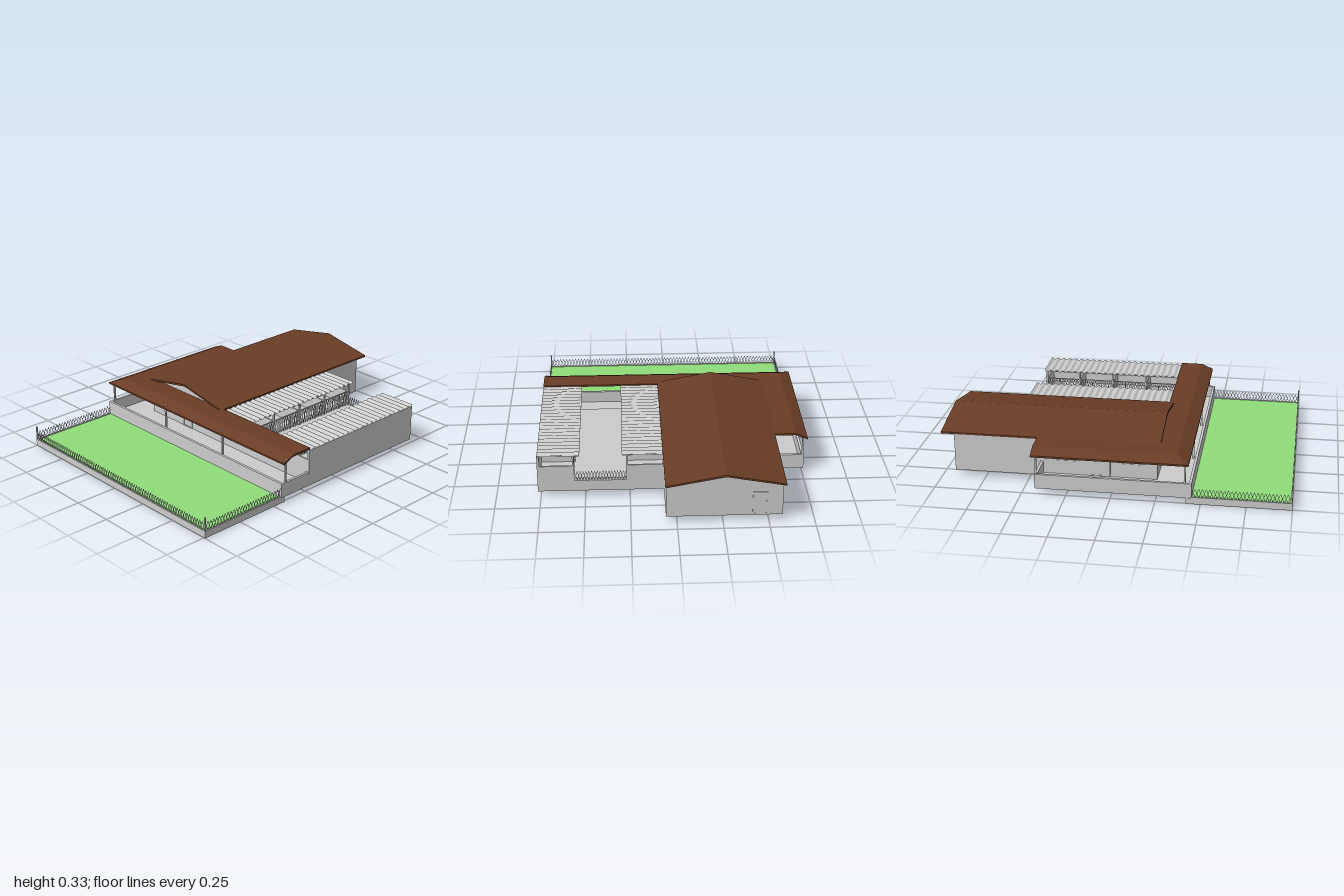
import * as THREE from 'three';
import { mergeGeometries } from 'three/addons/utils/BufferGeometryUtils.js';

const grey = new THREE.MeshStandardMaterial({ color: 0xcccccc, flatShading: true, side: THREE.DoubleSide });
const brown = new THREE.MeshStandardMaterial({ color: 0x6a3d26, flatShading: true, side: THREE.DoubleSide });
const green = new THREE.MeshStandardMaterial({ color: 0x8fdc78 });

export function createModel() {
  const model = new THREE.Group();

  const add = (name, geometry, material = grey) => {
    const mesh = new THREE.Mesh(geometry, material);
    mesh.name = name;
    model.add(mesh);
    return mesh;
  };
  // Box given by its minimum and maximum on each axis
  const block = (x0, x1, y0, y1, z0, z1) =>
    new THREE.BoxGeometry(x1 - x0, y1 - y0, z1 - z0)
      .translate((x0 + x1) / 2, (y0 + y1) / 2, (z0 + z1) / 2);
  const addBlock = (name, ...b) => add(name, block(...b));
  const post = (name, x, z, y0, y1, r = 0.005) => addBlock(name, x - r, x + r, y0, y1, z - r, z + r);

  // Crossing diagonal wires between two ground points
  const wireMesh = (name, x0, z0, x1, z1, y0, y1, pitch = 0.02) => {
    const dx = x1 - x0, dz = z1 - z0, length = Math.hypot(dx, dz), h = y1 - y0;
    const count = Math.round(length / pitch), step = length / count;
    const lean = Math.atan2(step, h), wire = [];
    for (let i = 0; i < count; i++) {
      for (const s of [-1, 1]) {
        wire.push(new THREE.BoxGeometry(0.0022, Math.hypot(step, h), 0.0022)
          .rotateZ(s * lean).translate((i + 0.5) * step, h / 2, 0));
      }
    }
    const g = mergeGeometries(wire);
    g.rotateY(-Math.atan2(dz, dx)).translate(x0, y0, z0);
    return add(name, g);
  };

  // Prism with a (z, y) outline, running along x
  const prismX = (points, x0, x1) => {
    const shape = new THREE.Shape(points.map(([z, y]) => new THREE.Vector2(-z, y)));
    return new THREE.ExtrudeGeometry(shape, { depth: x1 - x0, bevelEnabled: false })
      .rotateY(Math.PI / 2).translate(x0, 0, 0);
  };

  // Lawn with kerb, fence and corner posts
  addBlock('lawnBase', -1, -0.42, 0, 0.034, -0.755, 0.76);
  add('lawn', block(-0.992, -0.45, 0.03, 0.037, -0.747, 0.752), green);
  addBlock('lawnKerbWest', -1, -0.992, 0.03, 0.041, -0.755, 0.76);
  for (const z of [-0.755, 0.752]) addBlock('lawnKerb', -1, -0.45, 0.03, 0.041, z, z + 0.008);
  wireMesh('lawnFenceWest', -0.995, -0.75, -0.995, 0.755, 0.038, 0.09);
  for (const z of [-0.75, 0.755]) {
    wireMesh('lawnFence', -0.995, z, -0.45, z, 0.038, 0.09);
    post('fencePost', -0.995, z, 0.03, 0.12, 0.004);
  }

  // Main house and its gabled roof
  add('house', prismX([[0.06, 0.035], [0.06, 0.256], [-0.2575, 0.318], [-0.575, 0.256], [-0.575, 0.035]], -0.24, 0.925));
  add('gableRoof', prismX([[0.066, 0.258], [0.066, 0.268], [-0.2575, 0.33], [-0.581, 0.268],
    [-0.581, 0.258], [-0.2575, 0.318]], -0.258, 1), brown);

  // Doors and windows, each a frame around a thin panel
  const opening = (name, along, wall, c, w, y0, y1) => {
    const t = 0.006, parts = [[c - w / 2, c - w / 2 + t, y0, y1], [c + w / 2 - t, c + w / 2, y0, y1],
      [c - w / 2, c + w / 2, y1 - t, y1], [c - w / 2, c + w / 2, y0, y0 + t]];
    const make = (a, b, lo, hi, d) => along === 'x'
      ? block(a, b, lo, hi, wall - d, wall + d) : block(wall - d, wall + d, lo, hi, a, b);
    const g = parts.map((p) => make(...p, 0.004));
    g.push(make(c - w / 2, c + w / 2, y0, y1, 0.0015));
    add(name, mergeGeometries(g));
  };
  opening('eastDoor', 'z', 0.925, -0.45, 0.08, 0.04, 0.18);
  for (const x of [-0.1, 0.28]) opening('backWindow', 'x', -0.575, x, 0.14, 0.13, 0.2);
  opening('backDoor', 'x', -0.575, 0.1, 0.08, 0.05, 0.2);
  for (const z of [-0.42, -0.08]) opening('westWindow', 'z', -0.24, z, 0.14, 0.13, 0.2);
  opening('westDoor', 'z', -0.24, -0.25, 0.08, 0.05, 0.2);

  // Veranda floors, parapets and posts
  addBlock('verandaFloorWest', -0.45, -0.24, 0.035, 0.05, -0.755, 0.765);
  addBlock('verandaFloorBack', -0.24, 0.425, 0.035, 0.05, -0.755, -0.575);
  addBlock('parapetWest', -0.45, -0.435, 0.036, 0.12, -0.755, 0.765);
  addBlock('parapetBack', -0.435, 0.425, 0.036, 0.12, -0.755, -0.74);
  addBlock('parapetFront', -0.435, -0.24, 0.036, 0.12, 0.75, 0.765);
  addBlock('parapetEast', 0.41, 0.425, 0.036, 0.12, -0.74, -0.575);
  for (const z of [-0.745, -0.25, 0.25, 0.755]) post('verandaPost', -0.412, z, 0.05, 0.25);
  for (const x of [0, 0.417]) post('verandaPost', x, -0.747, 0.05, 0.245);

  // Veranda roof: one section swept round the corner with a mitre
  const section = [[0, 0.228], [0, 0.238], [0.07, 0.268], [0.2, 0.268], [0.2, 0.257], [0.07, 0.257]];
  const stations = [
    (d, y) => [-0.433 + d, y, 0.765],
    (d, y) => [-0.433 + d, y, -0.77 + d],
    (d, y) => [0.442, y, -0.77 + d],
  ];
  const n = section.length, pos = [], index = [];
  stations.forEach((at) => section.forEach(([d, y]) => pos.push(...at(d, y))));
  for (let s = 0; s < 2; s++) {
    for (let i = 0; i < n; i++) {
      const a = s * n + i, b = s * n + (i + 1) % n;
      index.push(a, b, a + n, b, b + n, a + n);
    }
  }
  const e = 2 * n;
  index.push(0, 5, 1, 1, 5, 2, 2, 5, 3, 3, 5, 4);
  index.push(e, e + 1, e + 5, e + 1, e + 2, e + 5, e + 2, e + 3, e + 5, e + 3, e + 4, e + 5);
  const verandaRoof = new THREE.BufferGeometry();
  verandaRoof.setAttribute('position', new THREE.Float32BufferAttribute(pos, 3));
  verandaRoof.setIndex(index);
  const flatRoof = verandaRoof.toNonIndexed();
  flatRoof.computeVertexNormals();
  add('verandaRoof', flatRoof, brown);

  // Pen wing: raised floor, tall front wall, lower end walls
  addBlock('penFloor', -0.24, 0.63, 0.035, 0.1, 0.06, 0.765);
  addBlock('penFrontWall', -0.24, 0.63, 0.036, 0.252, 0.753, 0.766);
  wireMesh('alleyGate', 0.625, 0.27, 0.625, 0.56, 0.1, 0.156, 0.016);

  // Two rows of pens facing the alley, with partitions, mesh fronts and posts
  const pens = 4, west = -0.235, east = 0.625, bay = (east - west) / pens;
  for (const [z0, z1, zFront] of [[0.06, 0.265, 0.265], [0.565, 0.765, 0.565]]) {
    for (let i = 0; i <= pens; i++) {
      const x = west + i * bay;
      addBlock('penPartition', x - 0.005, x + 0.005, 0.1, 0.193, z0, z1);
      post('penPost', x, zFront, 0.1, 0.25, 0.005);
      if (i === pens) continue;
      wireMesh('penMesh', x + 0.005, zFront, x + bay * 0.6, zFront, 0.1, 0.193, 0.015);
      wireMesh('penGate', x + bay * 0.64, zFront, x + bay - 0.005, zFront, 0.1, 0.185, 0.015);
      post('gatePost', x + bay * 0.62, zFront, 0.1, 0.193, 0.003);
    }
    addBlock('penRail', west, east, 0.188, 0.194, zFront - 0.003, zFront + 0.003);
    addBlock('penRoofBeam', west, east, 0.238, 0.252, zFront - 0.005, zFront + 0.005);
  }

  // Corrugated pen roofs
  for (const zMid of [0.175, 0.647]) {
    const sheet = new THREE.PlaneGeometry(0.87, 0.236, 176, 1).rotateX(-Math.PI / 2);
    const p = sheet.attributes.position;
    for (let i = 0; i < p.count; i++) p.setY(i, 0.005 * Math.cos((p.getX(i) / 0.87) * 44 * Math.PI));
    sheet.computeVertexNormals();
    const lower = sheet.clone().translate(0, -0.006, 0);
    add('corrugatedRoof', mergeGeometries([sheet, lower]).translate(0.197, 0.257, zMid));
  }

  return model;
}
